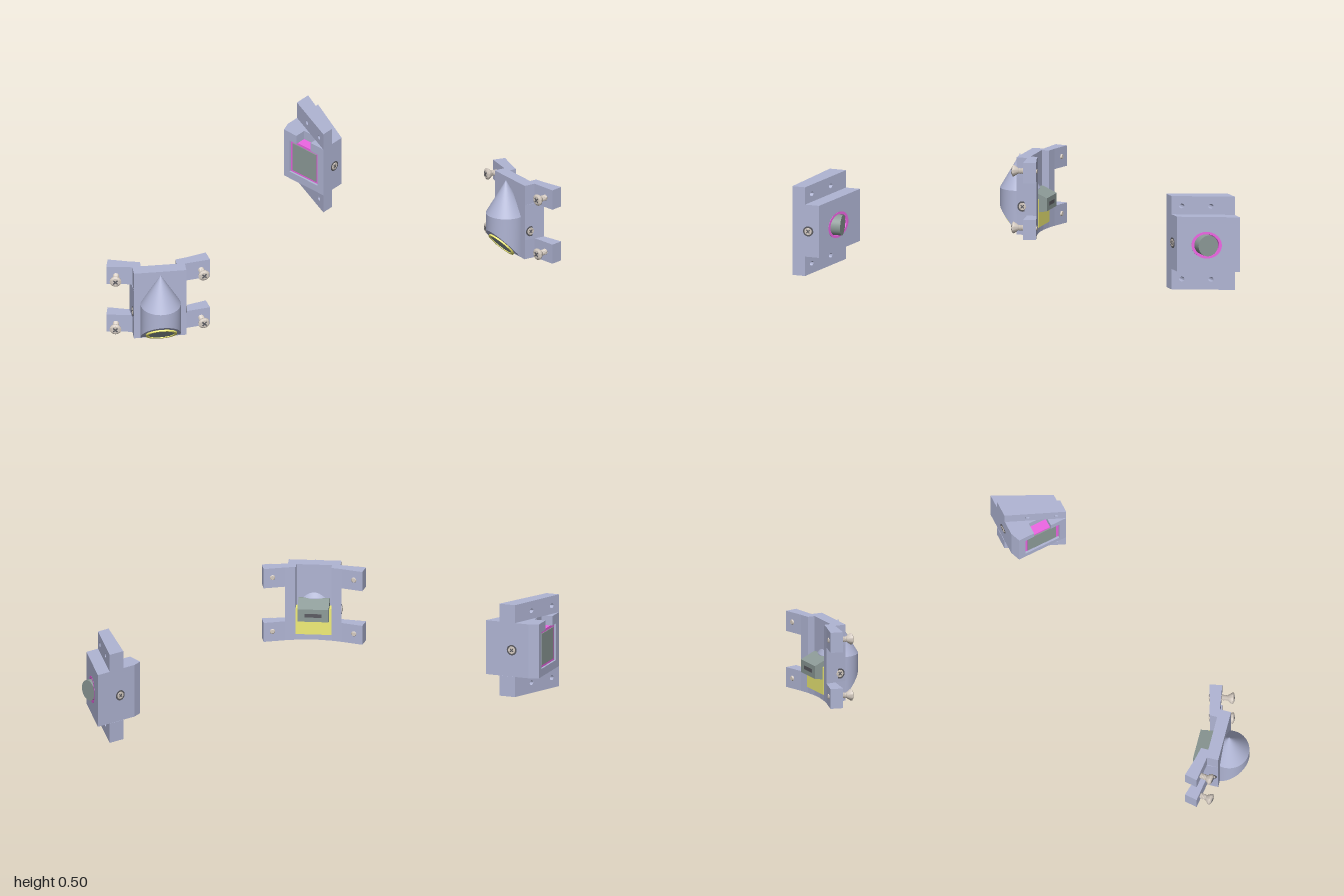
import * as THREE from 'three';
import { toCreasedNormals } from 'three/addons/utils/BufferGeometryUtils.js';

const mat = (color) => new THREE.MeshStandardMaterial({ color });
const STEEL = mat(0xb0b5d4), TAN = mat(0xd6ccc2), DARK = mat(0x5c5c62);
const GLASS = mat(0x8e9c99), PINK = mat(0xee66e4), YELLOW = mat(0xf2ee78);

function add(parent, name, geometry, material, x = 0, y = 0, z = 0) {
  const mesh = new THREE.Mesh(geometry, material);
  mesh.name = name;
  mesh.position.set(x, y, z);
  parent.add(mesh);
  return mesh;
}

const outline = (pts) => new THREE.Shape(pts.map(([x, y]) => new THREE.Vector2(x, y)));
const rect = (x0, y0, x1, y1) => outline([[x0, y0], [x1, y0], [x1, y1], [x0, y1]]);
const circle = (x, y, r) => new THREE.Path().absarc(x, y, r, 0, Math.PI * 2, true);

// upright prism from a plan outline of [x, z] points
function prism(pts, y0, y1) {
  const g = new THREE.ExtrudeGeometry(outline(pts.map(([x, z]) => [x, -z])), { depth: y1 - y0, bevelEnabled: false });
  return g.rotateX(-Math.PI / 2).translate(0, y0, 0);
}

// shape extruded along z between two slanted faces, each given as z = f(x)
function slab(shape, back, front) {
  const g = new THREE.ExtrudeGeometry(shape, { depth: 1, bevelEnabled: false, curveSegments: 32 });
  const p = g.attributes.position;
  for (let i = 0; i < p.count; i++) {
    const x = p.getX(i);
    p.setZ(i, p.getZ(i) > 0.5 ? front(x) : back(x));
  }
  return toCreasedNormals(g, 0.5);
}

// cross recess on a screw head lying at height y
function crossSlot(parent, y, r) {
  for (const turn of [0.78, -0.78]) {
    add(parent, 'driveSlot', new THREE.BoxGeometry(r * 1.2, 0.003, r * 0.28), DARK, 0, y, 0).rotation.y = turn;
  }
}

// protruding threaded screw along +y
function longScrew(length) {
  const s = new THREE.Group();
  s.name = 'longScrew';
  const pts = [[0, 0], [0.011, 0]];
  for (let y = 0.008; y < length - 0.04; y += 0.008) pts.push([0.016, y], [0.013, y + 0.004]);
  pts.push([0.014, length - 0.036], [0.03, length - 0.014], [0.031, length - 0.007], [0.022, length - 0.001], [0, length]);
  const lathe = new THREE.LatheGeometry(pts.map(([x, y]) => new THREE.Vector2(x, y)), 28);
  add(s, 'screwBody', toCreasedNormals(lathe, 0.5), TAN);
  crossSlot(s, length, 0.026);
  return s;
}

// screw head sitting flush in a side face, axis +y
function flushScrew() {
  const s = new THREE.Group();
  s.name = 'flushScrew';
  add(s, 'screwSeat', new THREE.CylinderGeometry(0.028, 0.028, 0.004, 28), DARK);
  add(s, 'screwHead', new THREE.CylinderGeometry(0.019, 0.024, 0.008, 28), TAN);
  crossSlot(s, 0.0035, 0.02);
  return s;
}

function place(parent, part, x, y, z, rotZ, rotX = 0) {
  part.position.set(x, y, z);
  part.rotation.set(rotX, 0, rotZ);
  parent.add(part);
}

// plan of the H-shaped holder plate
function holderPlan(arms, channel) {
  const half = arms
    ? [[0.14, 0.125], [0.14, 0.064], [0.277, 0.042], [0.262, -0.025], [0.15, 0.008]]
    : [[0.14, 0.125], [0.145, 0.066], [0.15, 0.008]];
  half.push([0.095, 0.02]);
  if (channel) half.push([0.095, 0.06]);
  else half.push([0.03, 0.028]);
  return [...half, ...half.map(([x, z]) => [-x, z]).reverse()].reverse();
}

function hoodedUnit() {
  const g = new THREE.Group();
  g.name = 'hoodedUnit';
  g.position.set(-0.749, 0, -0.037);
  g.rotation.y = -0.835;

  // plate in layers: arms above and below, recess open at the top
  const layers = [[0.057, 0.09, true, false], [0.09, 0.165, true, true], [0.165, 0.363, false, true], [0.363, 0.473, true, true]];
  for (const [y0, y1, arms, channel] of layers) {
    add(g, 'holderPlate', prism(holderPlan(arms, channel), y0, y1), STEEL);
  }

  // hood: cone over a cylinder whose underside is cut on a slant
  const cutY = (z) => Math.max(0.058, 0.05 + (z - 0.12) * 1.1);
  const tube = new THREE.CylinderGeometry(0.107, 0.107, 0.2, 48, 1).translate(0, 0.185, 0.15);
  const p = tube.attributes.position;
  for (let i = 0; i < p.count; i++) if (p.getY(i) < 0.2) p.setY(i, cutY(p.getZ(i)));
  add(g, 'hoodBody', toCreasedNormals(tube, 0.6), STEEL);
  add(g, 'hoodCone', new THREE.ConeGeometry(0.107, 0.183, 48, 1, true), STEEL, 0, 0.3765, 0.15);

  // slanted lens with its yellow rim
  const lens = new THREE.Group();
  lens.name = 'slantedLens';
  const tilt = Math.atan(1.1);
  lens.position.set(0, 0.112, 0.177);
  lens.rotation.x = -tilt;
  const rim = new THREE.Shape().absarc(0, 0, 0.083, 0, Math.PI * 2);
  rim.holes.push(circle(0, 0, 0.07));
  const rimGeo = new THREE.ExtrudeGeometry(rim, { depth: 0.02, bevelEnabled: false, curveSegments: 32 });
  add(lens, 'lensRim', toCreasedNormals(rimGeo.rotateX(Math.PI / 2), 0.5), YELLOW, 0, 0.012, 0);
  add(lens, 'lensGlass', new THREE.CylinderGeometry(0.07, 0.07, 0.018, 40), GLASS, 0, 0.005, 0);
  g.add(lens);

  // yellow liner and wedge prism in the recess
  add(g, 'recessLiner', new THREE.BoxGeometry(0.19, 0.15, 0.046), YELLOW, 0, 0.166, 0.039);
  const wedge = [[0.03, 0.17], [-0.027, 0.18], [-0.027, 0.25], [0.05, 0.285], [0.06, 0.285], [0.06, 0.17]];
  const wedgeGeo = new THREE.ExtrudeGeometry(outline(wedge.map(([z, y]) => [-z, y])), { depth: 0.166, bevelEnabled: false });
  add(g, 'prism', wedgeGeo.rotateY(Math.PI / 2), GLASS, -0.083, 0, 0);
  add(g, 'prismSlot', new THREE.BoxGeometry(0.09, 0.02, 0.003), DARK, 0, 0.215, -0.027);

  // arm screws and side screws, mirrored
  for (const side of [1, -1]) {
    for (const y of [0.113, 0.42]) {
      place(g, longScrew(0.137), side * 0.216, y, -0.017, 0, Math.PI / 2);
      g.children.at(-1).rotation.set(Math.PI / 2, 0, -side * 0.16);
    }
    place(g, flushScrew(), side * 0.142, 0.21, 0.09, -side * Math.PI / 2);
  }
  return g;
}

function lensBlock() {
  const g = new THREE.Group();
  g.name = 'lensBlock';
  g.rotation.y = 1.454;
  const outer = (x) => 0.814 + 0.495 * (x - 0.035);
  const cx = 0.176, cy = 0.253;

  // top and bottom flanges with bolt holes
  for (const [y0, y1, hy] of [[0, 0.11, 0.056], [0.405, 0.503, 0.45]]) {
    const s = rect(0.035, y0, 0.337, y1);
    for (const hx of [0.084, 0.223]) s.holes.push(circle(hx, hy, 0.0125));
    add(g, 'flange', slab(s, (x) => 0.668 + 0.424 * (x - 0.035), (x) => 0.738 + 0.489 * (x - 0.035)), STEEL);
  }

  // main body: bored outer layer, pocketed inner layer, bevelled end
  const body = rect(0.035, 0.11, 0.3145, 0.405);
  body.holes.push(circle(cx, cy, 0.072));
  add(g, 'blockBody', slab(body, () => 0.73, outer), STEEL);
  const pocket = outline([[0.035, 0.11], [0.3145, 0.11], [0.3145, 0.405], [cx + 0.05, 0.405], [cx + 0.05, 0.353],
    [cx + 0.1, 0.353], [cx + 0.1, 0.153], [cx - 0.1, 0.153], [cx - 0.1, 0.353], [cx - 0.05, 0.353],
    [cx - 0.05, 0.405], [0.035, 0.405]]);
  add(g, 'pocketWall', slab(pocket, () => 0.668, () => 0.73), STEEL);
  add(g, 'blockEnd', prism([[0.3145, 0.668], [0.3145, outer(0.3145)], [0.335, outer(0.335)], [0.335, 0.72]], 0.11, 0.405), STEEL);

  // lens barrel in its coloured sleeve, window at the inner end
  const sleeve = new THREE.Shape().absarc(cx, cy, 0.072, 0, Math.PI * 2);
  sleeve.holes.push(circle(cx, cy, 0.059));
  add(g, 'lensSleeve', slab(sleeve, () => 0.73, (x) => outer(x) + 0.001), PINK);
  const barrel = new THREE.CylinderGeometry(0.056, 0.056, 0.195, 40).rotateX(Math.PI / 2);
  add(g, 'lensBarrel', barrel, GLASS, cx, cy, 0.81);
  add(g, 'windowFrame', new THREE.BoxGeometry(0.2, 0.2, 0.05), PINK, cx, cy, 0.704);
  add(g, 'window', new THREE.BoxGeometry(0.168, 0.172, 0.05), GLASS, cx, cy, 0.699);

  // screws in both ends
  place(g, flushScrew(), 0.0345, 0.255, 0.755, Math.PI / 2);
  place(g, flushScrew(), 0.3355, 0.255, 0.815, -Math.PI / 2);
  return g;
}

export function createModel() {
  const model = new THREE.Group();
  model.name = 'opticalUnits';
  model.add(hoodedUnit(), lensBlock());
  return model;
}
